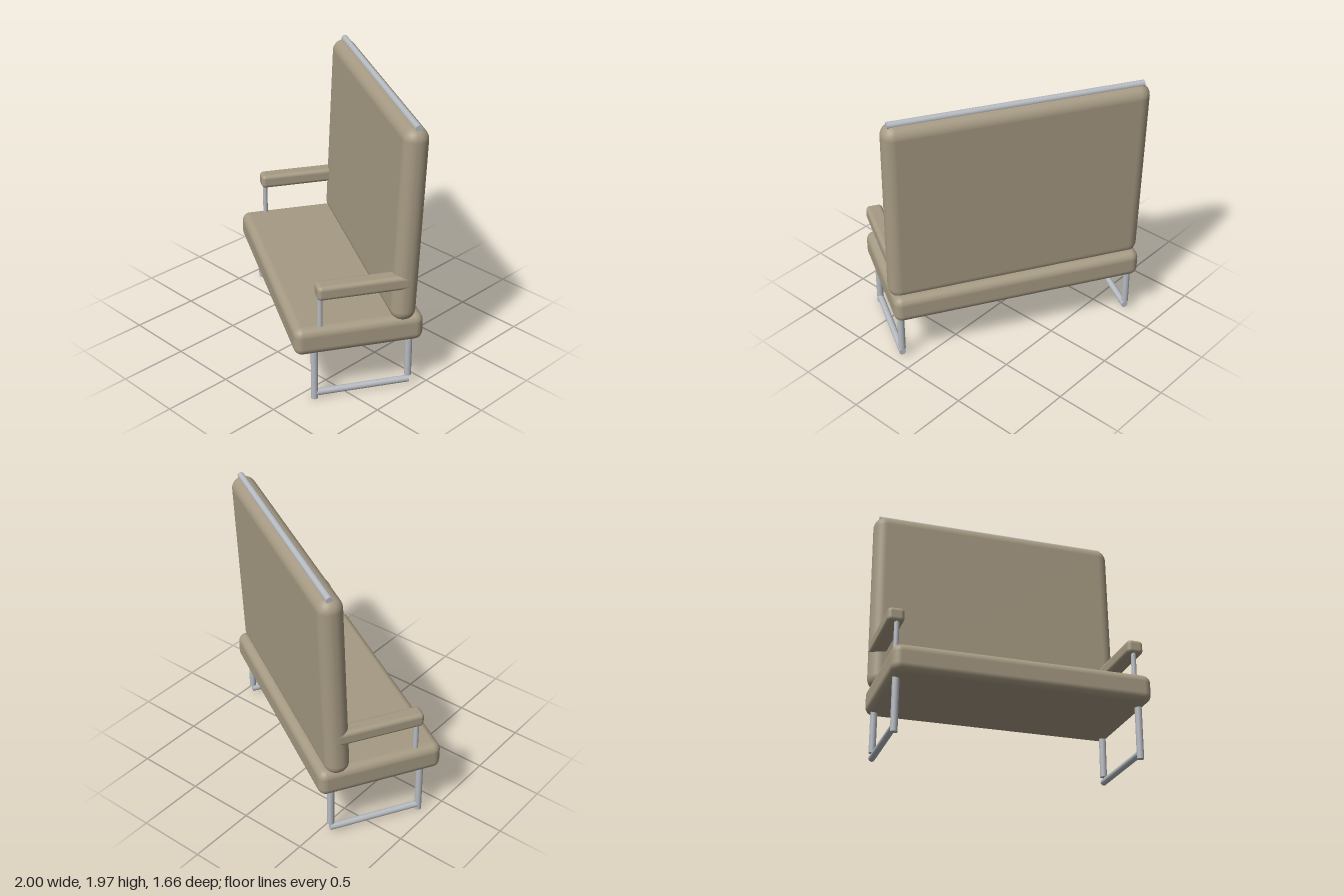
import * as THREE from 'three';
import { RoundedBoxGeometry } from 'three/addons/geometries/RoundedBoxGeometry.js';

export function createModel() {
  const fabric = new THREE.MeshStandardMaterial({ color: 0xa69a83 });
  fabric.name = 'beige upholstery';
  const metal = new THREE.MeshStandardMaterial({ color: 0xb6bbc1 });
  metal.name = 'steel tube';

  const bench = new THREE.Group();
  bench.name = 'bench';

  // Soft padded block, size and centre
  function cushion(name, [w, h, d], radius, [x, y, z]) {
    const mesh = new THREE.Mesh(new RoundedBoxGeometry(w, h, d, 5, radius), fabric);
    mesh.name = name;
    mesh.position.set(x, y, z);
    bench.add(mesh);
    return mesh;
  }

  // Straight capped tube between two points
  function tube(name, radius, from, to) {
    const a = new THREE.Vector3(...from);
    const b = new THREE.Vector3(...to);
    const dir = b.clone().sub(a);
    const mesh = new THREE.Mesh(new THREE.CylinderGeometry(radius, radius, dir.length(), 20), metal);
    mesh.name = name;
    mesh.position.copy(a).add(b).multiplyScalar(0.5);
    mesh.quaternion.setFromUnitVectors(new THREE.Vector3(0, 1, 0), dir.normalize());
    bench.add(mesh);
  }

  // Seat and slightly reclined backrest
  cushion('seat', [1.84, 0.205, 0.91], 0.06, [0, 0.477, 0]);
  const back = cushion('backrest', [1.865, 1.415, 0.178], 0.085, [0, 1.243, -0.338]);
  back.rotation.x = -0.04;

  // Grab rail along the top of the backrest
  tube('topRail', 0.024, [-0.89, 1.95, -0.373], [0.89, 1.95, -0.373]);

  // Armrests, posts, legs and floor rails on both sides
  for (const [side, s] of [['left', 1], ['right', -1]]) {
    const x = s * 0.865;
    cushion(side + 'Armrest', [0.12, 0.105, 0.65], 0.03, [s * 0.874, 0.852, -0.025]);
    tube(side + 'ArmPost', 0.018, [x, 0.56, 0.27], [x, 0.82, 0.27]);
    tube(side + 'FrontLeg', 0.025, [x, 0, 0.31], [x, 0.4, 0.31]);
    tube(side + 'BackLeg', 0.025, [x, 0.08, -0.36], [x, 0.4, -0.36]);
    tube(side + 'FloorRail', 0.024, [x, 0.042, 0.31], [x, 0.042, -0.365]);
  }

  // The bench stands turned away from the front
  bench.rotation.y = -Math.PI / 6;

  const model = new THREE.Group();
  model.name = 'highBackBench';
  model.add(bench);
  return model;
}
